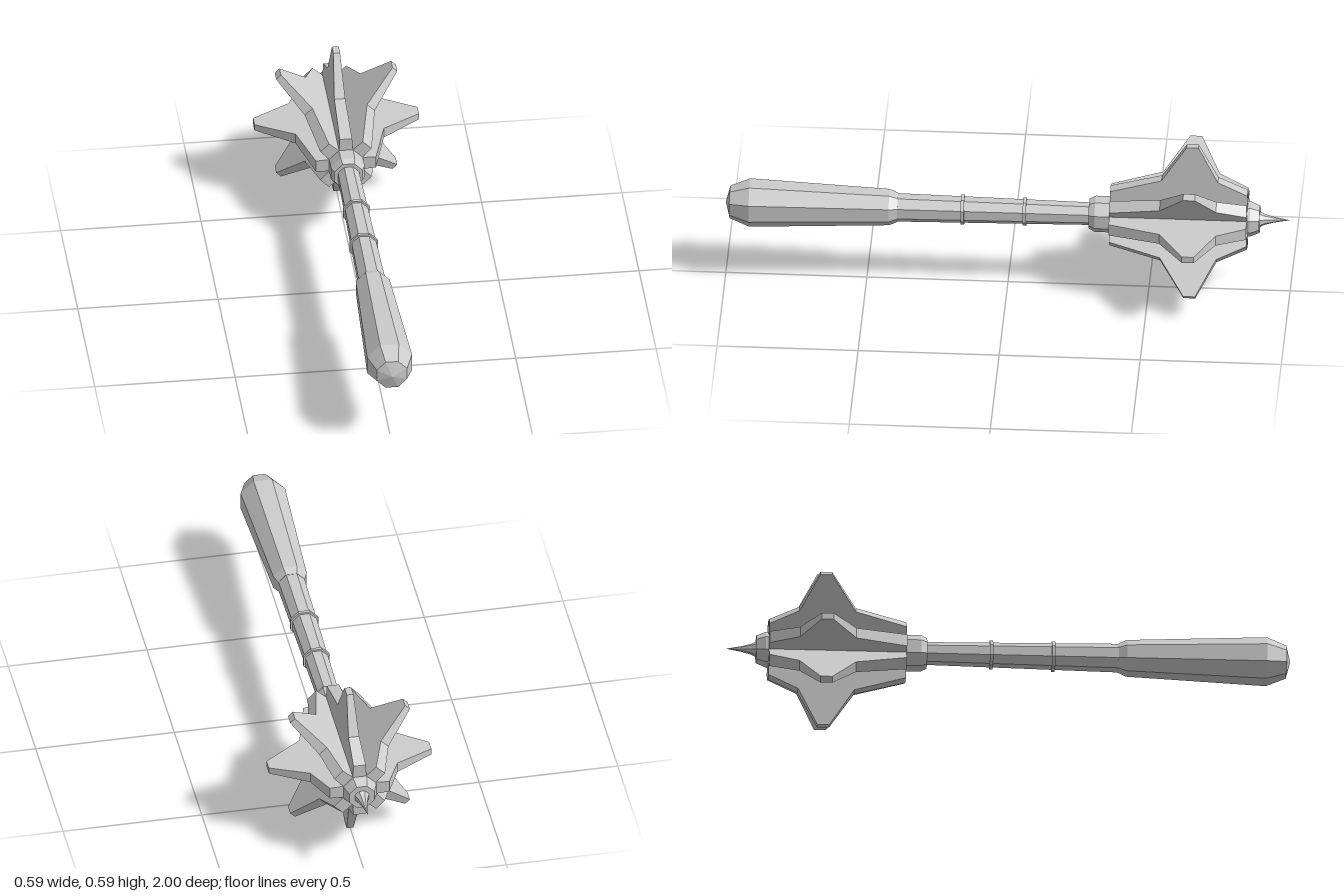
import * as THREE from 'three';

const AXIS_Y = 0.293;   // height of the weapon's long axis
const SIDES = 8;

export function createModel() {
  const group = new THREE.Group();
  group.name = 'flangedMace';
  const material = new THREE.MeshStandardMaterial({ color: 0xcccccc, flatShading: true });

  const add = (name, geometry) => {
    const mesh = new THREE.Mesh(geometry, material);
    mesh.name = name;
    mesh.position.y = AXIS_Y;
    group.add(mesh);
    return mesh;
  };

  // Octagonal part turned about the z axis; profile is [z, flat-to-axis radius], from back to front
  const turned = (name, profile) => {
    const k = 1 / Math.cos(Math.PI / SIDES);
    const points = profile.map(([z, r]) => new THREE.Vector2(r * k, z));
    const geometry = new THREE.LatheGeometry(points, SIDES, Math.PI / SIDES);
    geometry.rotateX(Math.PI / 2);
    return add(name, geometry);
  };

  // Grip with rounded pommel end
  turned('grip', [[0.39, 0], [0.39, 0.048], [0.42, 0.06], [0.915, 0.08], [0.985, 0.054], [1, 0]]);

  // Slim shaft and its two rings
  turned('shaft', [[-0.31, 0], [-0.31, 0.037], [0.4, 0.047], [0.4, 0]]);
  for (const [z, r] of [[0.16, 0.05], [-0.06, 0.047]]) {
    turned('shaftRing', [[z - 0.006, 0.03], [z - 0.006, r], [z + 0.006, r], [z + 0.006, 0.03]]);
  }

  // Head core with collar and back cap
  turned('headCore', [[-0.893, 0], [-0.893, 0.045], [-0.86, 0.058], [-0.31, 0.06], [-0.288, 0.05], [-0.288, 0]]);

  // Concave end spike
  turned('endSpike', [[-1, 0], [-0.94, 0.01], [-0.91, 0.018], [-0.89, 0.027]]);

  // Flange outline: x is distance towards the back, y is distance from the axis
  const outline = new THREE.Shape([
    [0.363, 0.04], [0.85, 0.04], [0.85, 0.107], [0.745, 0.157],
    [0.676, 0.293], [0.634, 0.293], [0.545, 0.157], [0.363, 0.107],
  ].map(([x, y]) => new THREE.Vector2(x, y)));
  const flange = new THREE.ExtrudeGeometry(outline, { depth: 1, bevelEnabled: false });

  // Taper the thickness towards the tip
  const pos = flange.attributes.position;
  for (let i = 0; i < pos.count; i++) {
    const half = THREE.MathUtils.mapLinear(pos.getY(i), 0.08, 0.293, 0.0235, 0.012);
    pos.setZ(i, pos.getZ(i) > 0.5 ? half : -half);
  }
  flange.rotateY(Math.PI / 2);
  flange.computeVertexNormals();

  for (let i = 0; i < SIDES; i++) {
    add('flange', flange).rotation.z = (i * 2 * Math.PI) / SIDES;
  }

  return group;
}
